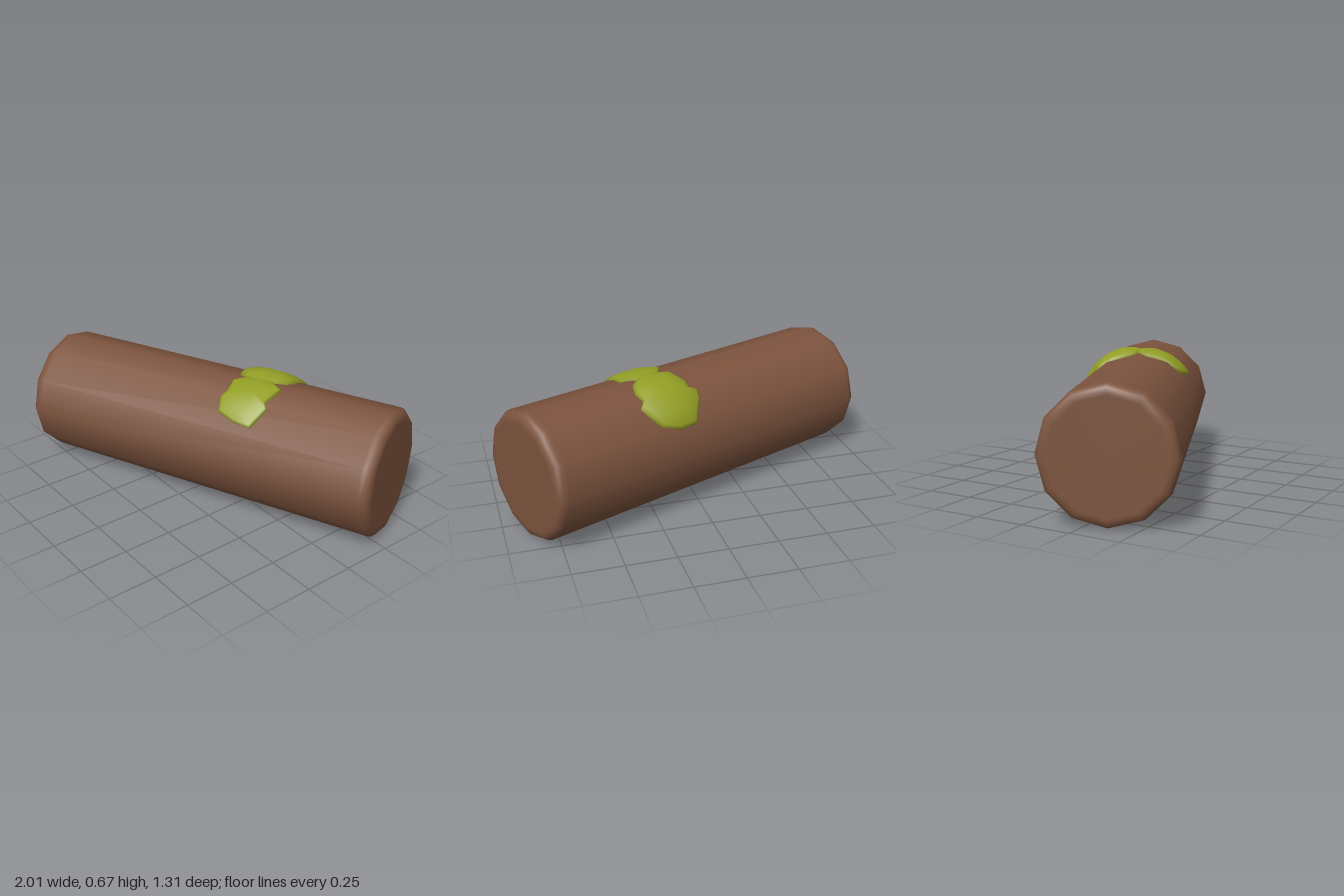
import * as THREE from 'three';

const R = 0.3225, HALF = 0.966, BEVEL = 0.04, TURN = 0.396;
const COS = Math.cos(TURN), SIN = Math.sin(TURN);

// Twelve-sided trunk with rounded rims, lying along x
function makeLog() {
  const profile = [[0, HALF], [R - BEVEL - 0.012, HALF]];
  for (let i = 0; i <= 3; i++) {
    const a = (i / 3) * Math.PI / 2;
    profile.push([R - BEVEL + BEVEL * Math.sin(a), HALF - BEVEL + BEVEL * Math.cos(a)]);
  }
  profile.push([R, HALF - BEVEL - 0.015]);
  const upper = profile.map(([r, y]) => new THREE.Vector2(r, y));
  const lower = profile.map(([r, y]) => new THREE.Vector2(r, -y));
  const geo = new THREE.LatheGeometry([...lower, ...upper.reverse()], 12);
  geo.rotateZ(-Math.PI / 2);
  const log = new THREE.Mesh(geo, new THREE.MeshStandardMaterial({ color: 0x7d543e }));
  log.name = 'log';
  return log;
}

// Moss lobe: a plan outline [x, z] wrapped round the trunk and slightly domed
function makeMoss(name, centre, outline, height) {
  const wrap = ([x, z]) => [x * COS - z * SIN, Math.asin((x * SIN + z * COS) / (R + 0.005))];
  const [cs, ca] = wrap(centre);
  const rings = [[0.25], [0.5], [0.75], [0.92], [1], [1, -0.02]];
  const n = outline.length, pos = [], index = [];
  const add = (s, a, lift) => pos.push(s, (R + lift) * Math.cos(a), (R + lift) * Math.sin(a));
  add(cs, ca, height);
  rings.forEach(([t, sink]) => outline.forEach((p) => {
    const [s, a] = wrap(p);
    add(cs + (s - cs) * t, ca + (a - ca) * t, sink ?? 0.006 + (height - 0.006) * (1 - t * t * t));
  }));
  for (let i = 0; i < n; i++) {
    const j = (i + 1) % n;
    index.push(0, 1 + j, 1 + i);
    for (let k = 0; k < rings.length - 1; k++) {
      const a = 1 + k * n, b = a + n;
      index.push(a + i, a + j, b + j, a + i, b + j, b + i);
    }
  }
  const geo = new THREE.BufferGeometry();
  geo.setAttribute('position', new THREE.Float32BufferAttribute(pos, 3));
  geo.setIndex(index);
  geo.computeVertexNormals();
  const moss = new THREE.Mesh(geo, new THREE.MeshStandardMaterial({ color: 0x939f25, side: THREE.DoubleSide }));
  moss.name = name;
  return moss;
}

export function createModel() {
  const model = new THREE.Group();
  model.name = 'mossyLog';
  model.add(makeLog());

  // Two overlapping lobes, one over the back and one over the front
  model.add(makeMoss('backMoss', [0.16, -0.23], [
    [0.03, -0.33], [0.12, -0.37], [0.22, -0.39], [0.31, -0.34], [0.29, -0.3], [0.315, -0.25],
    [0.315, -0.19], [0.28, -0.13], [0.25, -0.08], [0.155, -0.07], [0.1, -0.075], [0.04, -0.155],
    [0.03, -0.2], [-0.01, -0.2], [-0.01, -0.24], [0.02, -0.305],
  ], 0.035));
  model.add(makeMoss('frontMoss', [0.27, 0.01], [
    [0.2, -0.14], [0.28, -0.13], [0.365, -0.11], [0.375, 0], [0.41, 0.02], [0.395, 0.115],
    [0.31, 0.145], [0.215, 0.16], [0.17, 0.11], [0.17, 0.07], [0.13, 0], [0.155, -0.07],
  ], 0.022));

  model.rotation.y = TURN;
  model.position.y = R;
  const root = new THREE.Group();
  root.add(model);
  return root;
}
